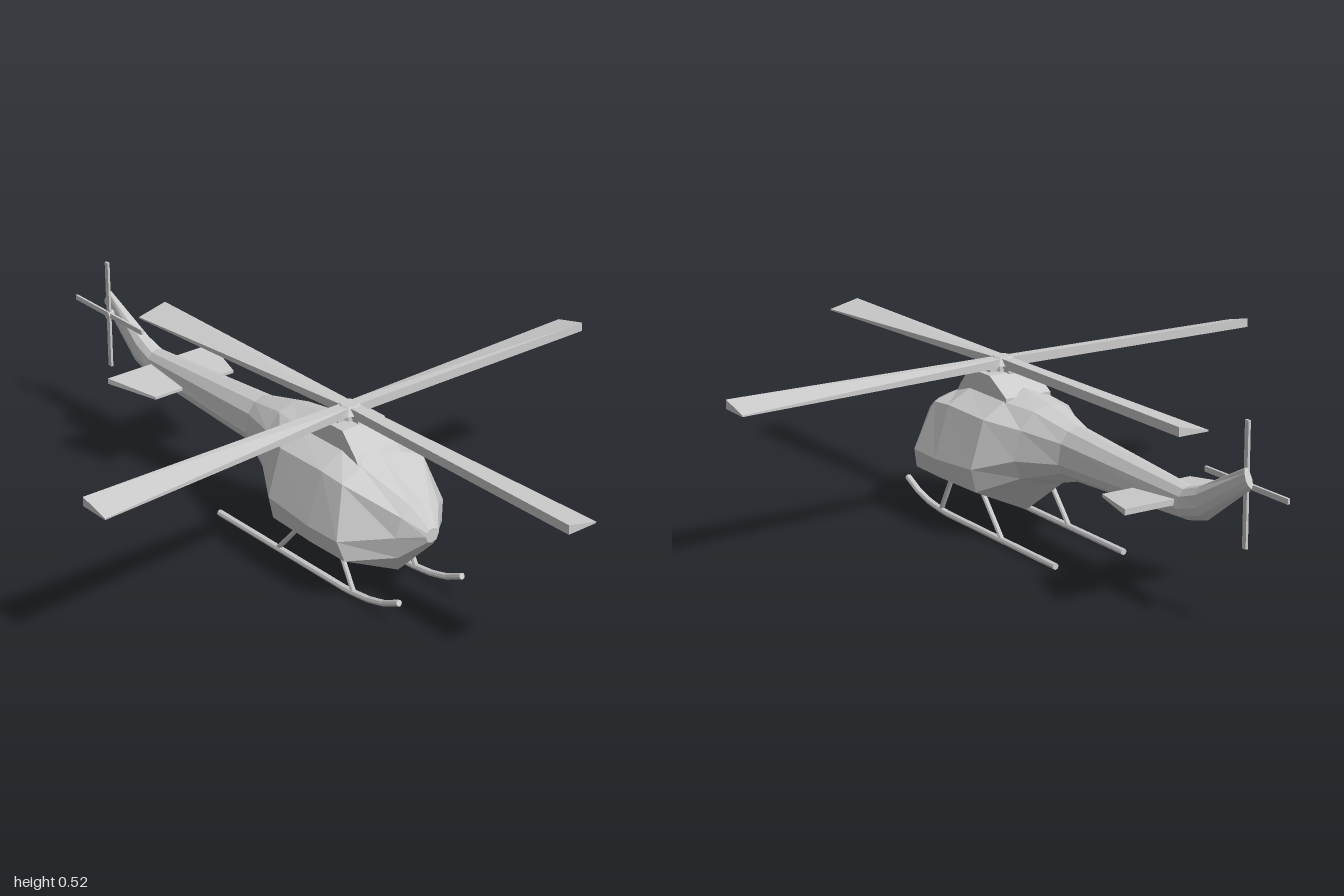
import * as THREE from 'three';

const mat = new THREE.MeshStandardMaterial({ color: 0xcccccc, flatShading: true });

function add(parent, name, geo, x = 0, y = 0, z = 0) {
  const m = new THREE.Mesh(geo, mat);
  m.name = name;
  m.position.set(x, y, z);
  parent.add(m);
  return m;
}

// Skin a run of equal rings (clockwise seen from +z, ordered towards -z) and cap both ends
function loft(rings) {
  const n = rings[0].length, pos = [], idx = [];
  rings.forEach(r => r.forEach(p => pos.push(...p)));
  for (let i = 0; i < rings.length - 1; i++) {
    for (let j = 0; j < n; j++) {
      const a = i * n + j, b = i * n + (j + 1) % n;
      idx.push(a, b, b + n, a, b + n, a + n);
    }
  }
  const e = (rings.length - 1) * n;
  for (let j = 1; j < n - 1; j++) idx.push(0, j + 1, j, e, e + j, e + j + 1);
  const g = new THREE.BufferGeometry();
  g.setAttribute('position', new THREE.Float32BufferAttribute(pos, 3));
  g.setIndex(idx);
  const flat = g.toNonIndexed();
  flat.computeVertexNormals();
  return flat;
}

// Mirrored hull ring from half points (ridge to keel); shear leans the ring with height
function hullRing(z, shear, half) {
  const right = half.map(([x, y]) => [x, y, z + shear * (y - 0.2)]);
  const left = right.slice(1, -1).reverse().map(([x, y, zz]) => [-x, y, zz]);
  return [...right, ...left];
}

// Round bar between two points
function bar(parent, name, a, b, r) {
  const A = new THREE.Vector3(...a), B = new THREE.Vector3(...b);
  const m = add(parent, name, new THREE.CylinderGeometry(r, r, A.distanceTo(B), 8));
  m.position.copy(A).add(B).multiplyScalar(0.5);
  m.quaternion.setFromUnitVectors(new THREE.Vector3(0, 1, 0), B.sub(A).normalize());
}

export function createModel() {
  const root = new THREE.Group();
  root.name = 'helicopter';

  // Cabin and tail boom: half sections from nose to tail
  add(root, 'fuselage', loft([
    hullRing(0.51, 0, [[0, 0.24], [0.01, 0.238], [0.018, 0.232], [0.022, 0.222], [0.015, 0.205], [0, 0.2]]),
    hullRing(0.455, 0.1, [[0, 0.3], [0.03, 0.292], [0.062, 0.27], [0.075, 0.215], [0.06, 0.15], [0, 0.135]]),
    hullRing(0.35, -0.25, [[0, 0.365], [0.065, 0.355], [0.135, 0.33], [0.18, 0.195], [0.165, 0.14], [0, 0.065]]),
    hullRing(0.24, 0, [[0, 0.4], [0.07, 0.375], [0.138, 0.338], [0.183, 0.195], [0.167, 0.14], [0, 0.065]]),
    hullRing(0.07, 0, [[0, 0.4], [0.07, 0.375], [0.135, 0.335], [0.175, 0.205], [0.16, 0.14], [0, 0.065]]),
    hullRing(-0.04, 0, [[0, 0.385], [0.05, 0.37], [0.09, 0.325], [0.11, 0.245], [0.09, 0.195], [0, 0.165]]),
    hullRing(-0.17, 0, [[0, 0.355], [0.03, 0.345], [0.052, 0.315], [0.06, 0.26], [0.05, 0.235], [0, 0.205]]),
    hullRing(-0.65, 0, [[0, 0.317], [0.018, 0.312], [0.03, 0.295], [0.035, 0.265], [0.028, 0.245], [0, 0.23]]),
    hullRing(-0.74, 0.25, [[0, 0.335], [0.014, 0.332], [0.026, 0.315], [0.03, 0.285], [0.024, 0.265], [0, 0.25]]),
    hullRing(-0.98, 0.5, [[0, 0.42], [0.005, 0.418], [0.008, 0.408], [0.01, 0.392], [0.007, 0.38], [0, 0.372]]),
  ]));

  // Engine fairing under the mast
  const side = new THREE.Shape([[0.32, 0.33], [0.29, 0.375], [0.24, 0.43], [0.14, 0.43], [0.06, 0.385], [0.06, 0.33]]
    .map(([z, y]) => new THREE.Vector2(-z, y)));
  const fairing = new THREE.ExtrudeGeometry(side, { depth: 0.14, bevelEnabled: false });
  fairing.translate(0, 0, -0.07).rotateY(Math.PI / 2);
  add(root, 'engineFairing', fairing);

  // Main rotor: four wedge-section blades widening to the tip
  const rotor = new THREE.Group();
  rotor.name = 'mainRotor';
  rotor.position.set(0, 0, 0.185);
  root.add(rotor);
  add(rotor, 'mast', new THREE.CylinderGeometry(0.032, 0.036, 0.03, 8), 0, 0.432, 0);
  add(rotor, 'hub', new THREE.CylinderGeometry(0.025, 0.045, 0.02, 8), 0, 0.457, 0);
  const blade = loft([
    [[-0.018, 0.464, 0.815], [0.072, 0.443, 0.815], [0.072, 0.439, 0.815], [-0.018, 0.439, 0.815]],
    [[-0.016, 0.464, 0.01], [0.018, 0.463, 0.01], [0.018, 0.439, 0.01], [-0.016, 0.439, 0.01]],
  ]);
  for (let i = 0; i < 4; i++) {
    const arm = new THREE.Group();
    arm.name = 'rotorArm';
    arm.rotation.y = i * Math.PI / 2;
    rotor.add(arm);
    add(arm, 'mainBlade', blade);
    add(arm, 'bladeGrip', new THREE.BoxGeometry(0.028, 0.016, 0.03), 0, 0.434, 0.035);
  }

  // Tailplane
  const planeRing = (w, y, z, t) => [[-w, y + t, z], [w, y + t, z], [w, y - t, z], [-w, y - t, z]];
  add(root, 'tailplane', loft([planeRing(0.135, 0.271, -0.475, 0.004), planeRing(0.18, 0.278, -0.635, 0.008)]));

  // Tail rotor on the right side of the fin
  const tail = new THREE.Group();
  tail.name = 'tailRotor';
  tail.position.set(-0.027, 0.365, -0.84);
  root.add(tail);
  for (let i = 0; i < 2; i++) {
    const m = add(tail, 'tailBlades', new THREE.BoxGeometry(0.007, 0.32, 0.014));
    m.rotation.x = i * Math.PI / 2;
  }
  bar(tail, 'tailHub', [-0.008, 0, 0], [0.027, 0, 0], 0.012);

  // Skids with upturned toes and two struts each
  for (const s of [1, -1]) {
    const x = s * 0.107;
    const skid = new THREE.Group();
    skid.name = s > 0 ? 'leftSkid' : 'rightSkid';
    root.add(skid);
    const path = new THREE.CurvePath();
    const pts = [[0.063, 0.51], [0.035, 0.45], [0.02, 0.39], [0.011, 0.31], [0.01, -0.23]]
      .map(([y, z]) => new THREE.Vector3(x, y, z));
    for (let i = 0; i < pts.length - 1; i++) path.add(new THREE.LineCurve3(pts[i], pts[i + 1]));
    add(skid, 'skidTube', new THREE.TubeGeometry(path, 24, 0.009, 8));
    for (const [z, end] of [[0.51, 0], [-0.23, 4]]) {
      const cap = add(skid, 'skidCap', new THREE.CircleGeometry(0.009, 8));
      cap.position.copy(pts[end]);
      if (z < 0) cap.rotation.y = Math.PI;
      else cap.rotation.x = -0.44;
    }
    bar(skid, 'frontStrut', [x, 0.012, 0.335], [x, 0.13, 0.27], 0.007);
    bar(skid, 'rearStrut', [x, 0.012, 0.025], [x, 0.13, 0.13], 0.007);
  }
  return root;
}
